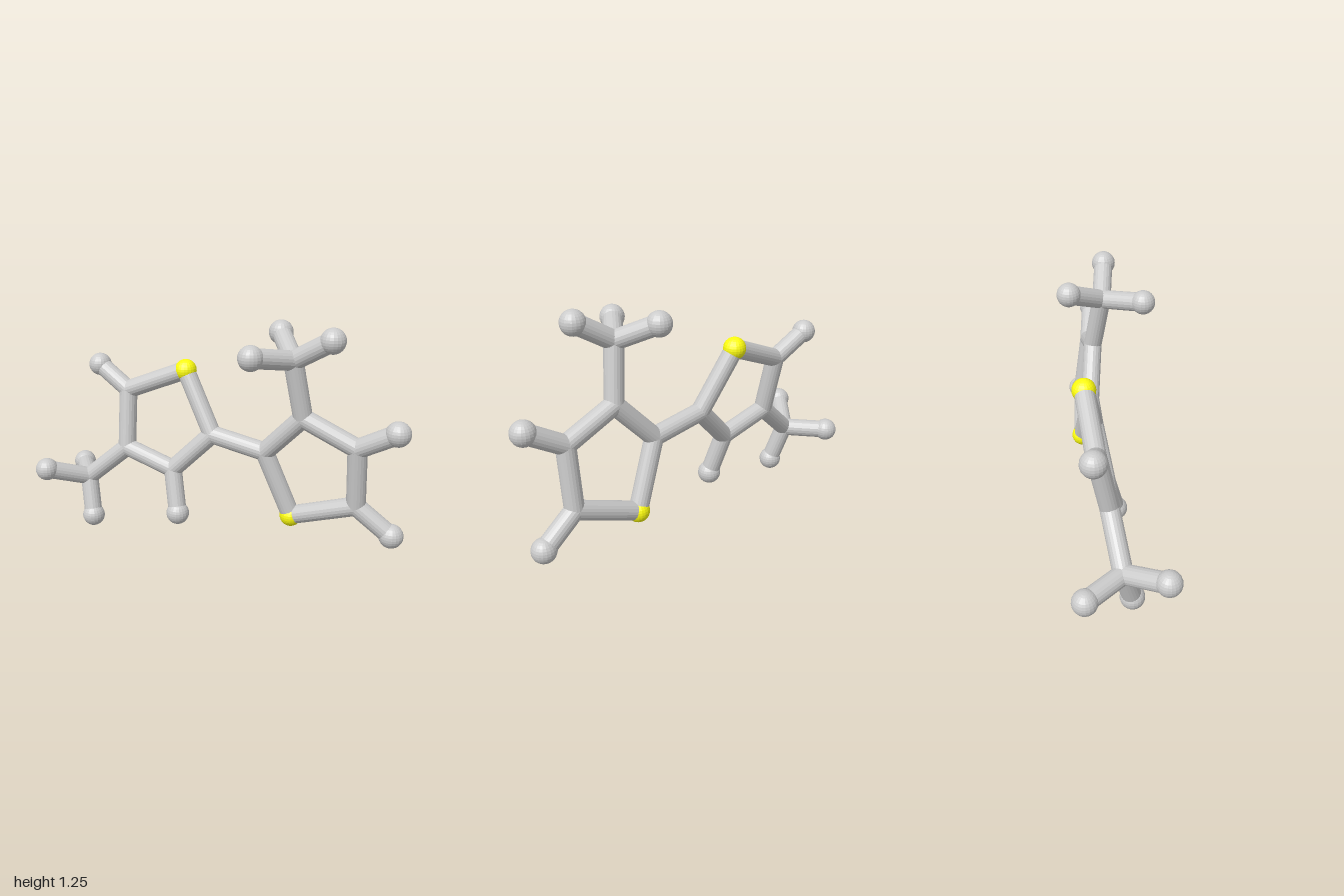
import * as THREE from 'three';

const BOND_R = 0.049;
const UP = new THREE.Vector3(0, 1, 0);

// Joint centres: [x, y, z]
const points = {
  // right-hand ring and its branches
  sulfurA: [-0.225, 0.928, -0.143],
  ringA1: [-0.045, 0.61, -0.085],
  ringA2: [-0.26, 0.395, -0.042],
  ringA3: [-0.55, 0.475, -0.054],
  ringA4: [-0.565, 0.79, -0.115],
  methylA: [-0.785, 0.275, -0.014],
  tipA1: [-0.757, 0.907, -0.142],
  tipA2: [-0.207, 0.165, 0.012],
  tipA3: [-0.735, 0.064, 0.038],
  tipA4: [-0.938, 0.358, 0.172],
  tipA5: [-0.938, 0.278, -0.203],
  // left-hand ring and its branches
  sulfurB: [0.395, 0.213, -0.12],
  ringB1: [0.255, 0.56, -0.08],
  ringB2: [0.465, 0.78, -0.046],
  ringB3: [0.745, 0.66, -0.05],
  ringB4: [0.745, 0.34, -0.092],
  methylB: [0.42, 1.075, 0],
  tipB1: [0.938, 0.77, -0.024],
  tipB2: [0.928, 0.205, -0.105],
  tipB3: [0.618, 1.193, 0.029],
  tipB4: [0.292, 1.17, -0.178],
  tipB5: [0.28, 1.116, 0.202],
};

// Each chain is a run of joints connected by rods
const chains = [
  ['sulfurA', 'ringA1', 'ringA2', 'ringA3', 'ringA4', 'sulfurA'],
  ['sulfurB', 'ringB1', 'ringB2', 'ringB3', 'ringB4', 'sulfurB'],
  ['ringA1', 'ringB1'],
  ['ringA4', 'tipA1'], ['ringA2', 'tipA2'],
  ['ringA3', 'methylA', 'tipA3'], ['methylA', 'tipA4'], ['methylA', 'tipA5'],
  ['ringB3', 'tipB1'], ['ringB4', 'tipB2'],
  ['ringB2', 'methylB', 'tipB3'], ['methylB', 'tipB4'], ['methylB', 'tipB5'],
];

export function createModel() {
  const model = new THREE.Group();
  model.name = 'molecule';
  const grey = new THREE.MeshStandardMaterial({ color: 0xcccccc, flatShading: true });
  const yellow = new THREE.MeshStandardMaterial({ color: 0xffff10, flatShading: true });

  const ball = (r) => new THREE.SphereGeometry(r, 20, 14);
  const tipBall = ball(0.062);
  const sulfurBall = ball(0.059);
  const jointBall = ball(BOND_R);
  const rod = new THREE.CylinderGeometry(BOND_R, BOND_R, 1, 20, 1, false);

  // Balls: large at the tips, yellow for sulfur, flush with the rods elsewhere
  for (const [name, p] of Object.entries(points)) {
    const isSulfur = name.startsWith('sulfur');
    const geometry = isSulfur ? sulfurBall : name.startsWith('tip') ? tipBall : jointBall;
    const mesh = new THREE.Mesh(geometry, isSulfur ? yellow : grey);
    mesh.name = name;
    mesh.position.set(...p);
    model.add(mesh);
  }

  // Rods between neighbouring joints
  for (const chain of chains) {
    for (let i = 1; i < chain.length; i++) {
      const a = new THREE.Vector3(...points[chain[i - 1]]);
      const b = new THREE.Vector3(...points[chain[i]]);
      const dir = b.clone().sub(a);
      const mesh = new THREE.Mesh(rod, grey);
      mesh.name = 'bond';
      mesh.scale.y = dir.length();
      mesh.position.copy(a).add(b).multiplyScalar(0.5);
      mesh.quaternion.setFromUnitVectors(UP, dir.normalize());
      model.add(mesh);
    }
  }
  return model;
}
